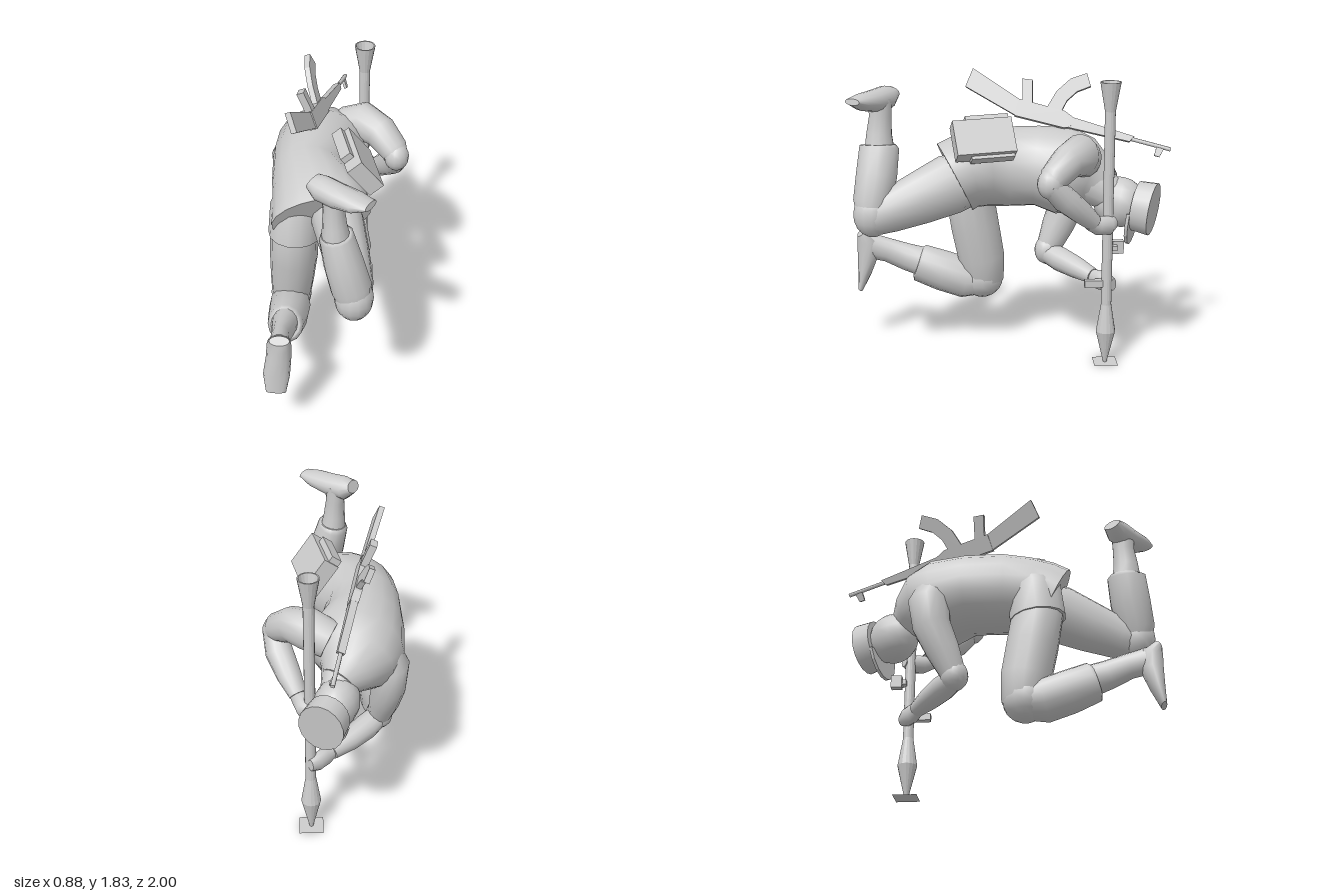
import * as THREE from 'three';

const V = (x, y, z) => new THREE.Vector3(x, y, z);
const grey = new THREE.MeshStandardMaterial({ color: 0xcccccc, side: THREE.DoubleSide });
grey.name = 'plain grey';

function add(parent, name, geometry) {
  const mesh = new THREE.Mesh(geometry, grey);
  mesh.name = name;
  parent.add(mesh);
  return mesh;
}

// Capped skin over elliptical rings [x, y, z, halfWidth, halfDepth]; ref is the width direction
function loft(rings, ref, sides = 14) {
  const pos = [], idx = [], n = rings.length;
  const centre = rings.map(r => V(r[0], r[1], r[2]));
  const ringPoints = i => {
    const t = centre[Math.min(i + 1, n - 1)].clone().sub(centre[Math.max(i - 1, 0)]).normalize();
    const side = ref.clone().addScaledVector(t, -ref.dot(t)).normalize();
    const other = t.clone().cross(side);
    for (let j = 0; j < sides; j++) {
      const a = j / sides * Math.PI * 2;
      const p = centre[i].clone().addScaledVector(side, rings[i][3] * Math.cos(a))
        .addScaledVector(other, rings[i][4] * Math.sin(a));
      pos.push(p.x, p.y, p.z);
    }
  };
  for (let i = 0; i < n; i++) ringPoints(i);
  for (let i = 0; i < n - 1; i++) for (let j = 0; j < sides; j++) {
    const k = (j + 1) % sides, a = i * sides + j, b = i * sides + k;
    idx.push(a, b, b + sides, a, b + sides, a + sides);
  }
  for (const i of [0, n - 1]) {
    const s = pos.length / 3;
    ringPoints(i);
    for (let j = 1; j < sides - 1; j++) idx.push(...(i ? [s, s + j, s + j + 1] : [s, s + j + 1, s + j]));
  }
  const g = new THREE.BufferGeometry();
  g.setAttribute('position', new THREE.Float32BufferAttribute(pos, 3));
  g.setIndex(idx);
  g.computeVertexNormals();
  return g;
}

// Group whose local x follows xDir and whose local y leans to yHint
function frame(parent, name, origin, xDir, yHint) {
  const x = xDir.clone().normalize();
  const y = yHint.clone().addScaledVector(x, -yHint.dot(x)).normalize();
  const g = new THREE.Group();
  g.name = name;
  g.quaternion.setFromRotationMatrix(new THREE.Matrix4().makeBasis(x, y, x.clone().cross(y)));
  g.position.copy(origin);
  parent.add(g);
  return g;
}

function box(parent, name, size, p) {
  const m = add(parent, name, new THREE.BoxGeometry(...size));
  m.position.set(...p);
}

function ball(parent, name, p, s) {
  const m = add(parent, name, new THREE.SphereGeometry(1, 14, 10));
  m.position.set(...p);
  m.scale.set(...s);
}

function plate(parent, name, points, depth) {
  const shape = new THREE.Shape(points.map(p => new THREE.Vector2(p[0], p[1])));
  const g = new THREE.ExtrudeGeometry(shape, { depth, bevelEnabled: false });
  g.translate(0, 0, -depth / 2);
  return add(parent, name, g);
}

export function createModel() {
  const model = new THREE.Group();
  const X = V(1, 0, 0), Y = V(0, 1, 0), Z = V(0, 0, 1);

  // Jacket, bent forward and rolled, with a slanting hem and a skirt over the hanging thigh
  add(model, 'jacket', loft([
    [-0.105, 1.165, 0.345, 0.305, 0.24], [-0.115, 1.2, 0.275, 0.295, 0.24], [-0.14, 1.215, 0.17, 0.27, 0.245],
    [-0.175, 1.215, 0.02, 0.235, 0.255], [-0.165, 1.22, -0.18, 0.255, 0.255], [-0.12, 1.195, -0.35, 0.295, 0.28],
    [-0.09, 1.17, -0.47, 0.26, 0.245], [-0.05, 1.14, -0.55, 0.17, 0.17], [-0.01, 1.11, -0.6, 0.11, 0.12]],
    V(0.94, 0.3, 0), 18));
  add(model, 'jacketSkirt', loft([
    [-0.24, 1.3, 0.19, 0.12, 0.15], [-0.26, 1.18, 0.23, 0.155, 0.17], [-0.272, 0.98, 0.25, 0.16, 0.175]], X));
  add(model, 'neck', loft([[-0.04, 1.14, -0.5, 0.13, 0.14], [0, 1.06, -0.66, 0.1, 0.11]], X));

  // Head and peaked cap: local x is the crown direction, local y the face direction
  const head = frame(model, 'head', V(0, 1.02, -0.68), V(0.42, -0.12, -0.9), V(0.2, -1, 0));
  ball(head, 'face', [0.01, 0, 0], [0.17, 0.16, 0.135]);
  const cap = add(head, 'cap', new THREE.CylinderGeometry(0.168, 0.158, 0.115, 18));
  cap.rotation.z = -Math.PI / 2;
  cap.position.x = 0.18;
  cap.scale.z = 0.84;
  const peak = [];
  for (let i = 0; i <= 8; i++) {
    const a = i / 8 * Math.PI;
    peak.push([Math.cos(a) * 0.13, 0.05 + Math.sin(a) * 0.2]);
  }
  const peakMesh = plate(head, 'capPeak', peak, 0.02);
  peakMesh.rotation.y = Math.PI / 2;
  peakMesh.position.x = 0.115;

  // Left arm, elbow raised outward
  add(model, 'leftUpperArm', loft([
    [0.04, 1.31, -0.46, 0.12, 0.11], [0.16, 1.36, -0.42, 0.13, 0.125], [0.26, 1.34, -0.335, 0.11, 0.105],
    [0.345, 1.265, -0.245, 0.09, 0.09], [0.39, 1.21, -0.21, 0.05, 0.055]], Y));
  ball(model, 'leftElbow', [0.36, 1.23, -0.225], [0.08, 0.095, 0.085]);
  add(model, 'leftForearm', loft([
    [0.37, 1.23, -0.22, 0.07, 0.07], [0.34, 1.13, -0.31, 0.08, 0.085], [0.28, 1.03, -0.42, 0.07, 0.075],
    [0.23, 0.95, -0.5, 0.055, 0.055]], Z));
  add(model, 'leftHand', loft([
    [0.25, 0.95, -0.47, 0.04, 0.04], [0.215, 0.925, -0.53, 0.06, 0.05], [0.19, 0.92, -0.6, 0.06, 0.055],
    [0.15, 0.925, -0.64, 0.04, 0.03]], Y));

  // Right arm, reaching across to the grip
  add(model, 'rightUpperArm', loft([
    [-0.27, 1.22, -0.4, 0.1, 0.1], [-0.325, 1.1, -0.42, 0.115, 0.13], [-0.32, 0.94, -0.4, 0.105, 0.12],
    [-0.3, 0.78, -0.33, 0.095, 0.105], [-0.28, 0.64, -0.27, 0.075, 0.08]], X));
  ball(model, 'rightElbow', [-0.275, 0.62, -0.26], [0.085, 0.095, 0.085]);
  add(model, 'rightForearm', loft([
    [-0.28, 0.61, -0.25, 0.07, 0.07], [-0.19, 0.58, -0.34, 0.08, 0.08], [-0.08, 0.555, -0.44, 0.07, 0.07],
    [0.03, 0.535, -0.53, 0.05, 0.05]], Y));
  add(model, 'rightHand', loft([
    [0.01, 0.535, -0.51, 0.04, 0.035], [0.07, 0.525, -0.56, 0.065, 0.045], [0.12, 0.52, -0.61, 0.06, 0.045],
    [0.16, 0.52, -0.645, 0.04, 0.025]], Y));

  // Left leg, shin folded upward
  add(model, 'leftThigh', loft([
    [-0.04, 1.18, 0.24, 0.15, 0.17], [0, 1.145, 0.38, 0.155, 0.19], [0.045, 1.07, 0.57, 0.14, 0.165],
    [0.085, 1.0, 0.76, 0.12, 0.135], [0.1, 0.965, 0.86, 0.1, 0.115], [0.105, 0.945, 0.93, 0.06, 0.07]], X));
  ball(model, 'leftKnee', [0.09, 0.985, 0.86], [0.115, 0.145, 0.12]);
  add(model, 'leftShin', loft([
    [0.1, 0.94, 0.87, 0.09, 0.08], [0.075, 1.06, 0.86, 0.12, 0.12], [0.03, 1.22, 0.83, 0.115, 0.13],
    [-0.01, 1.39, 0.81, 0.1, 0.125], [-0.012, 1.405, 0.81, 0.085, 0.1]], X));
  add(model, 'leftBootShaft', loft([
    [-0.01, 1.36, 0.81, 0.085, 0.095], [-0.02, 1.47, 0.81, 0.07, 0.08], [-0.025, 1.58, 0.8, 0.06, 0.07],
    [-0.03, 1.69, 0.8, 0.07, 0.075]], X));
  add(model, 'leftFoot', loft([
    [-0.14, 1.71, 0.73, 0.04, 0.06], [-0.09, 1.685, 0.765, 0.075, 0.078], [0, 1.68, 0.83, 0.07, 0.08],
    [0.1, 1.69, 0.905, 0.052, 0.08], [0.175, 1.705, 0.955, 0.02, 0.055]], Y));

  // Right leg, thigh hanging down and shin going forward
  add(model, 'rightThigh', loft([
    [-0.25, 1.2, 0.22, 0.12, 0.13], [-0.27, 1.02, 0.25, 0.148, 0.16], [-0.28, 0.8, 0.215, 0.15, 0.16],
    [-0.295, 0.58, 0.175, 0.138, 0.155], [-0.305, 0.43, 0.16, 0.125, 0.135], [-0.31, 0.345, 0.18, 0.08, 0.09]], X));
  ball(model, 'rightKnee', [-0.305, 0.435, 0.17], [0.13, 0.14, 0.14]);
  add(model, 'rightShin', loft([
    [-0.31, 0.41, 0.16, 0.1, 0.1], [-0.31, 0.425, 0.28, 0.13, 0.135], [-0.315, 0.475, 0.43, 0.125, 0.135],
    [-0.325, 0.53, 0.58, 0.11, 0.125], [-0.325, 0.535, 0.595, 0.09, 0.1]], X));
  add(model, 'rightBootShaft', loft([
    [-0.325, 0.53, 0.54, 0.085, 0.1], [-0.335, 0.57, 0.67, 0.07, 0.09], [-0.345, 0.615, 0.79, 0.055, 0.08],
    [-0.345, 0.65, 0.92, 0.065, 0.085]], X));
  add(model, 'rightFoot', loft([
    [-0.34, 0.74, 0.965, 0.06, 0.03], [-0.345, 0.68, 0.925, 0.072, 0.07], [-0.35, 0.58, 0.925, 0.075, 0.068],
    [-0.365, 0.46, 0.95, 0.08, 0.045], [-0.37, 0.345, 0.98, 0.06, 0.018]], X));

  // Upright launcher with warhead, tube and flared rear
  const tube = add(model, 'launcher', new THREE.LatheGeometry([
    [0, 0], [0.012, 0], [0.062, 0.21], [0.033, 0.39], [0.033, 1.63], [0.065, 1.81], [0.057, 1.81],
    [0.02, 1.64], [0, 1.64]].map(p => new THREE.Vector2(...p)), 16).toNonIndexed());
  tube.geometry.computeVertexNormals();
  tube.position.set(0.16, 0, -0.6);
  const ground = add(model, 'groundPlate', new THREE.PlaneGeometry(0.15, 0.15));
  ground.rotation.x = -Math.PI / 2;
  ground.position.set(0.16, 0, -0.6);
  box(model, 'launcherGrip', [0.045, 0.045, 0.12], [0.16, 0.53, -0.52]);
  box(model, 'sightBlock', [0.05, 0.08, 0.07], [0.095, 0.75, -0.675]);
  box(model, 'sightMount', [0.06, 0.03, 0.05], [0.125, 0.755, -0.64]);

  // Rifle slung on the back: local x runs to the muzzle, local y to the magazine
  const rifle = frame(model, 'rifle', V(-0.17, 1.59, -0.05), V(0.205, -0.23, -0.95), V(-0.35, 0.88, 0));
  plate(rifle, 'stock', [[-0.35, 0.05], [0.02, -0.05], [0.02, 0.055], [-0.335, 0.175]], 0.035);
  plate(rifle, 'receiver', [[0, -0.05], [0.32, -0.045], [0.36, -0.03], [0.36, 0.035], [0.3, 0.06], [0, 0.06]], 0.05);
  plate(rifle, 'handguard', [[0.35, -0.035], [0.74, -0.022], [0.76, 0.018], [0.35, 0.035]], 0.045);
  plate(rifle, 'pistolGrip', [[0.03, 0.04], [0.095, 0.04], [0.05, 0.2], [-0.015, 0.19]], 0.045);
  plate(rifle, 'magazine', [[0.18, 0.04], [0.275, 0.04], [0.295, 0.13], [0.34, 0.2], [0.415, 0.255],
    [0.37, 0.33], [0.28, 0.27], [0.215, 0.17]], 0.035);
  const barrel = add(rifle, 'barrel', new THREE.CylinderGeometry(0.013, 0.013, 0.28, 8));
  barrel.rotation.z = Math.PI / 2;
  barrel.position.x = 0.86;
  plate(rifle, 'frontSight', [[0.91, 0], [0.96, 0], [0.945, -0.065], [0.91, -0.065]], 0.018);

  // Belt pouch: local x runs along the belt, local y points away from the body
  const pouch = frame(model, 'pouch', V(0.12, 1.457, 0.17), V(0.2, -0.02, 0.97), V(0.8, 0.58, 0));
  box(pouch, 'pouchBody', [0.37, 0.105, 0.23], [0, 0, 0]);
  box(pouch, 'pouchFlap', [0.27, 0.07, 0.05], [-0.04, -0.015, 0.13]);
  box(pouch, 'pouchBase', [0.27, 0.07, 0.03], [-0.04, -0.015, -0.12]);
  return model;
}
